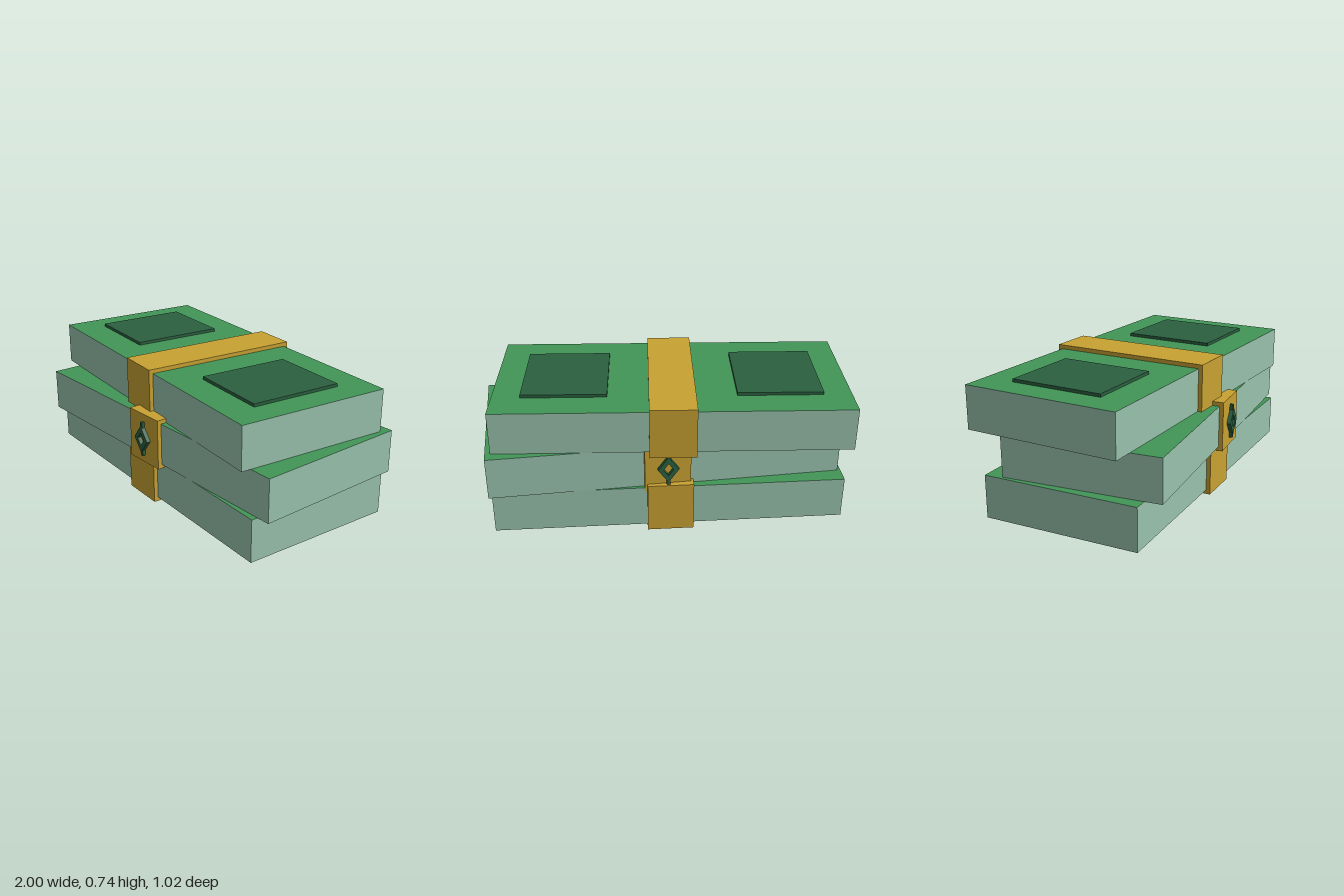
import * as THREE from 'three';

const material = (name, color) => {
  const m = new THREE.MeshStandardMaterial({ color });
  m.name = name;
  return m;
};

export function createModel() {
  const paper = material('pale paper edge', 0x99c2ad);
  const green = material('note green', 0x429657);
  const dark = material('dark green', 0x2b6040);
  const gold = material('gold band', 0xc9a233);

  const model = new THREE.Group();
  model.name = 'bundleStack';

  const W = 1.872, H = 0.231, D = 0.854;

  const addBox = (parent, name, size, pos, mat) => {
    const mesh = new THREE.Mesh(new THREE.BoxGeometry(...size), mat);
    mesh.name = name;
    mesh.position.set(...pos);
    parent.add(mesh);
    return mesh;
  };

  // One bundle: block with green faces above and below, wrapped by a band
  const addBundle = (name, x, y, z, turn) => {
    const bundle = new THREE.Group();
    bundle.name = name;
    bundle.position.set(x, y, z);
    bundle.rotation.y = turn;
    addBox(bundle, 'noteBlock', [W, H, D], [0, 0, 0], [paper, paper, green, green, paper, paper]);
    addBox(bundle, 'band', [0.245, 0.276, 0.9], [0, 0, 0], gold);
    model.add(bundle);
    return bundle;
  };

  addBundle('bottomBundle', -0.01, 0.1395, -0.0125, 0);
  const middle = addBundle('middleBundle', 0.035, 0.3705, 0.015, 0.07);
  const top = addBundle('topBundle', -0.0425, 0.6015, -0.04, -0.053);

  // Dark panels on the top face
  for (const side of [-1, 1]) {
    addBox(top, side < 0 ? 'rightPanel' : 'leftPanel', [0.45, 0.017, 0.51],
      [side * 0.562, H / 2 + 0.008, 0], dark);
  }

  // Raised diamond emblem with a pin above and below, front and back of the middle band
  const diamond = (w, h, Type) => new Type([[0, -h], [w, 0], [0, h], [-w, 0]]
    .map(([x, y]) => new THREE.Vector2(x, y)));
  const outline = diamond(0.056, 0.076, THREE.Shape);
  outline.holes.push(diamond(0.026, 0.036, THREE.Path));
  const emblemGeometry = new THREE.ExtrudeGeometry(outline, { depth: 0.024, bevelEnabled: false });
  for (const side of [1, -1]) {
    const emblem = new THREE.Group();
    emblem.name = side > 0 ? 'frontEmblem' : 'backEmblem';
    emblem.rotation.y = side > 0 ? 0 : Math.PI;
    const ring = new THREE.Mesh(emblemGeometry, dark);
    ring.name = 'diamond';
    ring.position.z = 0.448;
    emblem.add(ring);
    for (const end of [-1, 1]) {
      addBox(emblem, 'pin', [0.018, 0.034, 0.02], [0, end * 0.078, 0.458], dark);
    }
    middle.add(emblem);
  }

  return model;
}
